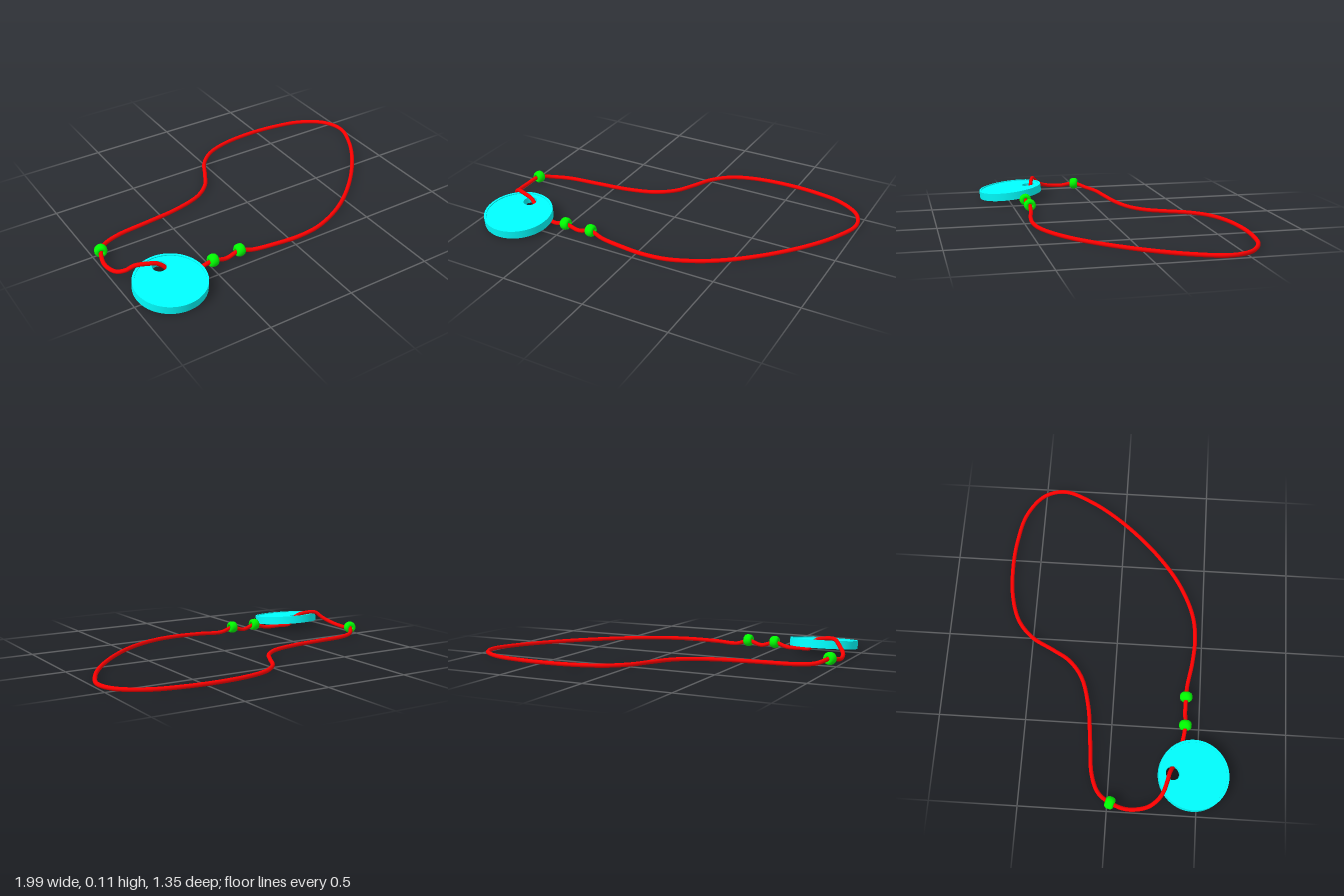
import * as THREE from 'three';

const material = (color) => new THREE.MeshStandardMaterial({ color });

// Flat disc with a round hole, lying in the xz plane and centred on y = 0
function piercedDisc(radius, hole, holeBack, height) {
  const shape = new THREE.Shape().absarc(0, 0, radius, 0, Math.PI * 2);
  shape.holes.push(new THREE.Path().absarc(0, holeBack, hole, 0, Math.PI * 2, true));
  const geometry = new THREE.ExtrudeGeometry(shape, { depth: height, bevelEnabled: false, curveSegments: 32 });
  geometry.translate(0, 0, -height / 2);
  geometry.rotateX(-Math.PI / 2);
  return geometry;
}

// Rounded bead with a bore, axis along y
function beadGeometry() {
  const profile = [[0.013, -0.024], [0.024, -0.026], [0.032, -0.019], [0.036, -0.008], [0.036, 0.008],
    [0.032, 0.019], [0.024, 0.026], [0.013, 0.024], [0.013, -0.024]];
  return new THREE.LatheGeometry(profile.map(([r, y]) => new THREE.Vector2(r, y)), 24);
}

export function createModel() {
  const group = new THREE.Group();
  const cyan = material(0x00ffff);
  const green = material(0x00ff00);

  // Cord: one end rises through the pendant hole, the other lies under the pendant
  const rest = 0.013;
  const path = [
    [-0.742, 0.055, 0.356], [-0.728, 0.027, 0.364], [-0.66, 0.02, 0.386], [-0.57, 0.016, 0.411],
    [-0.487, 0.036, 0.421], [-0.402, 0.015, 0.418], [-0.318, 0.036, 0.419], [-0.24, rest, 0.425],
    [-0.1, rest, 0.449], [0.05, rest, 0.46], [0.2, rest, 0.44], [0.4, rest, 0.35], [0.6, rest, 0.195],
    [0.8, rest, -0.025], [0.925, rest, -0.22], [0.985, rest, -0.39], [0.945, rest, -0.515],
    [0.81, rest, -0.612], [0.63, rest, -0.653], [0.45, rest, -0.664], [0.25, rest, -0.645],
    [0.1, rest, -0.593], [0, rest, -0.503], [-0.07, rest, -0.375], [-0.13, rest, -0.275],
    [-0.23, rest, -0.195], [-0.4, rest, -0.143], [-0.6, rest, -0.118], [-0.8, rest, -0.095],
    [-0.9, 0.018, -0.053], [-0.957, 0.038, 0.018], [-0.985, 0.022, 0.115], [-0.97, 0.036, 0.225],
    [-0.935, 0.064, 0.278], [-0.895, 0.099, 0.309], [-0.83, 0.098, 0.33], [-0.78, 0.086, 0.341],
  ].map((p) => new THREE.Vector3(...p));
  const curve = new THREE.CatmullRomCurve3(path, true, 'centripetal');
  const cord = new THREE.Mesh(new THREE.TubeGeometry(curve, 400, 0.012, 12, true), material(0xff0000));
  cord.name = 'cord';
  group.add(cord);

  // Beads threaded on the cord
  const bead = beadGeometry();
  const up = new THREE.Vector3(0, 1, 0);
  [
    ['frontInnerBead', -0.487, 0.421, 1, 0],
    ['frontOuterBead', -0.318, 0.419, 1, 0],
    ['sideBead', -0.957, 0.018, -0.3, 1],
  ].forEach(([name, x, z, dx, dz]) => {
    const mesh = new THREE.Mesh(bead, green);
    mesh.name = name;
    mesh.position.set(x, 0.039, z);
    mesh.quaternion.setFromUnitVectors(up, new THREE.Vector3(dx, 0, dz).normalize());
    group.add(mesh);
  });

  // Tilted pendant: pierced plate inside a slightly proud rim
  const pendant = new THREE.Group();
  pendant.name = 'pendant';
  const plate = new THREE.Mesh(piercedDisc(0.188, 0.04, 0.12, 0.038), cyan);
  plate.name = 'pendantPlate';
  const rim = new THREE.Mesh(
    new THREE.LatheGeometry(
      [[0.187, -0.024], [0.2, -0.024], [0.2, -0.024], [0.2, 0.024], [0.2, 0.024], [0.187, 0.024],
        [0.187, 0.024], [0.187, -0.024]].map(([r, y]) => new THREE.Vector2(r, y)), 64),
    cyan);
  rim.name = 'pendantRim';
  pendant.add(plate, rim);
  pendant.position.set(-0.777, 0.047, 0.477);
  pendant.rotation.x = 0.112;
  group.add(pendant);

  return group;
}
